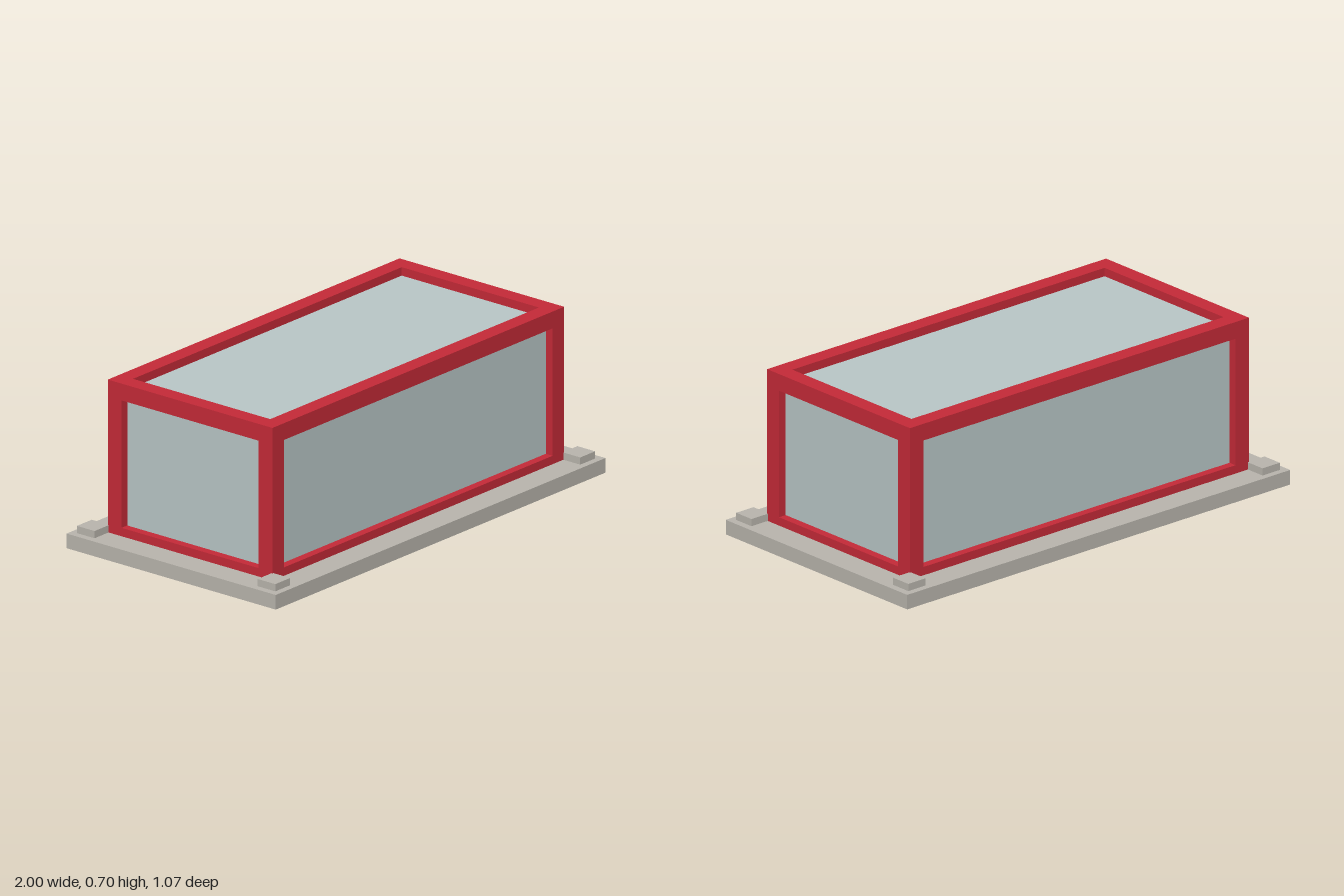
import * as THREE from 'three';

export function createModel() {
  const model = new THREE.Group();
  model.name = 'glazedPavilion';

  const stone = new THREE.MeshStandardMaterial({ name: 'stone grey', color: 0xbab6ae });
  const red = new THREE.MeshStandardMaterial({ name: 'frame red', color: 0xc62a38 });
  const glass = new THREE.MeshStandardMaterial({ name: 'pale glass', color: 0xbac8c8 });

  const box = (name, material, size, position, parent = model) => {
    const mesh = new THREE.Mesh(new THREE.BoxGeometry(...size), material);
    mesh.name = name;
    mesh.position.set(...position);
    parent.add(mesh);
  };

  const BASE = 0.061;           // top of the base slab
  const X = 0.885, Z = 0.42;    // outer half sizes of the frame
  const TOP = 0.697, BAR = 0.07; // frame height and bar width
  const SILL = 0.035;           // visible height of the bottom bars

  // Base slab
  box('base', stone, [2, BASE, 1.067], [0, BASE / 2, 0]);

  // Glass body, set back half a bar from the frame faces
  const glassTop = TOP - BAR / 2;
  box('glassBody', glass, [2 * X - BAR, glassTop - BASE, 2 * Z - BAR], [0, (glassTop + BASE) / 2, 0]);

  const frame = new THREE.Group();
  frame.name = 'frame';
  model.add(frame);

  for (const sx of [-1, 1]) {
    for (const sz of [-1, 1]) {
      // Corner posts and the small anchor pads outside them
      box('cornerPost', red, [BAR, TOP - BASE, BAR],
        [sx * (X - BAR / 2), (TOP + BASE) / 2, sz * (Z - BAR / 2)], frame);
      box('anchorPad', stone, [0.09, 0.03, 0.09], [sx * 0.925, BASE + 0.015, sz * 0.461]);
    }
  }

  // Top and bottom bars between the posts
  for (const [name, height, y] of [['topRail', BAR, TOP - BAR / 2], ['bottomRail', SILL, BASE + SILL / 2]]) {
    for (const s of [-1, 1]) {
      box(name, red, [2 * (X - BAR), height, BAR], [0, y, s * (Z - BAR / 2)], frame);
      box(name, red, [BAR, height, 2 * (Z - BAR)], [s * (X - BAR / 2), y, 0], frame);
    }
  }

  return model;
}
